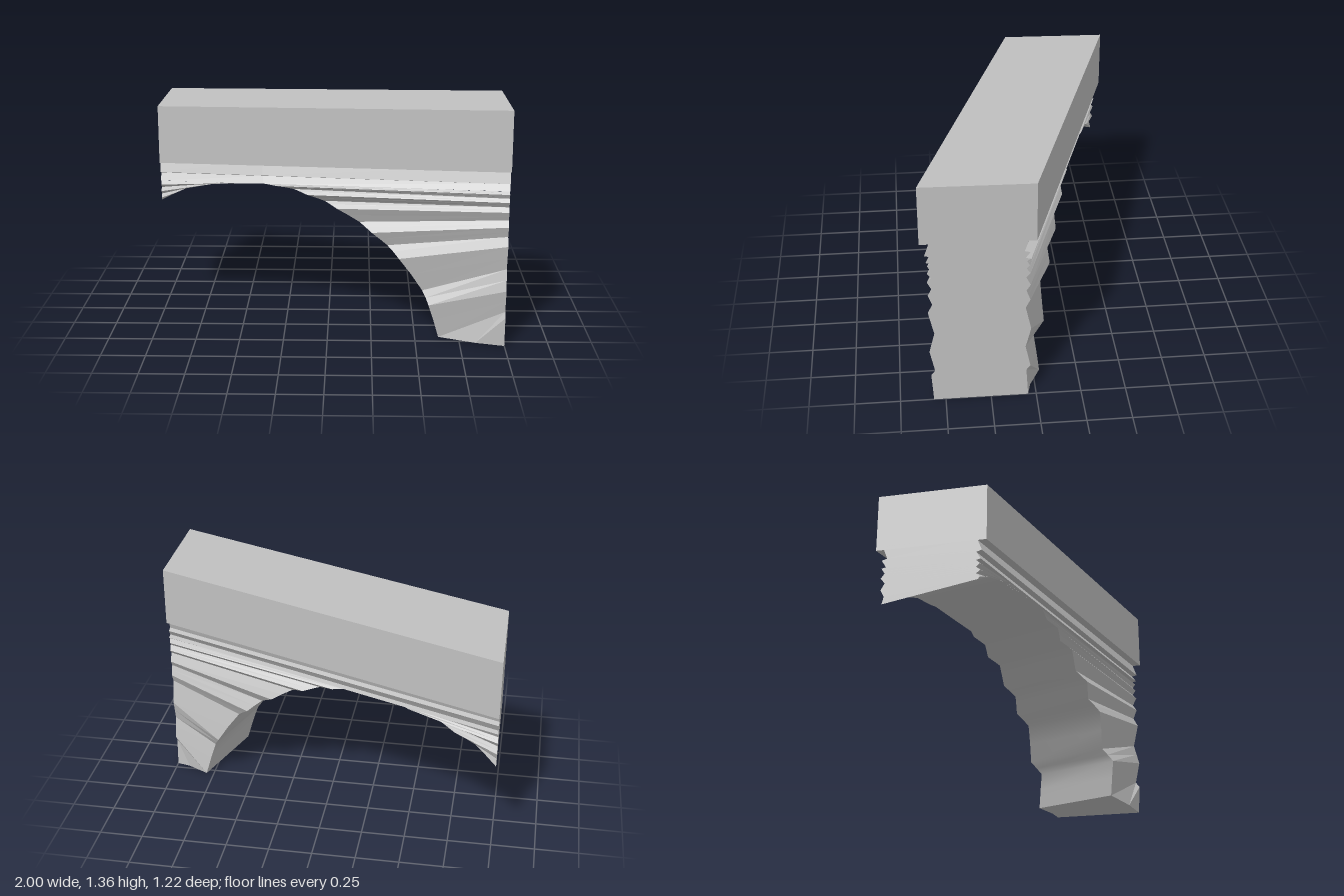
import * as THREE from 'three';
import { toCreasedNormals } from 'three/addons/utils/BufferGeometryUtils.js';

const SKEW = 0.305;   // z gained per unit of x along the wall
const HALF = 0.26;    // half thickness of the wall below the parapet

const stone = new THREE.MeshStandardMaterial({ color: 0xc0c0c0 });
stone.name = 'grey stone';

// Point on the front (side 1) or back (side -1) of the wall, with its layer shifted by d
const onWall = (x, y, d, side) => [x, y, side * HALF + SKEW * x + d];

// Quads between two matching rows of points
function strip(a, b, out) {
  for (let i = 0; i + 1 < a.length; i++) {
    out.push(...a[i], ...b[i], ...b[i + 1], ...a[i], ...b[i + 1], ...a[i + 1]);
  }
}

function meshFrom(positions, name, crease) {
  let geo = new THREE.BufferGeometry();
  geo.setAttribute('position', new THREE.Float32BufferAttribute(positions, 3));
  geo.computeVertexNormals();
  if (crease) geo = toCreasedNormals(geo, crease);
  const mesh = new THREE.Mesh(geo, stone);
  mesh.name = name;
  return mesh;
}

// Rows of a fan: inner points follow a smooth arch, outer points the straight end
function fanRows(rows, side, end) {
  const curve = new THREE.CatmullRomCurve3(rows.map(r => new THREE.Vector3(r[0], r[1], 0)));
  const inner = [], outer = [];
  const steps = 2, n = (rows.length - 1) * steps;
  for (let k = 0; k <= n; k++) {
    const i = Math.min(Math.floor(k / steps), rows.length - 2);
    const t = k / steps - i;
    const p = curve.getPoint(k / n);
    const y = THREE.MathUtils.lerp(rows[i][2], rows[i + 1][2], t);
    const d = THREE.MathUtils.lerp(rows[i][3], rows[i + 1][3], t);
    inner.push(onWall(p.x, p.y, d, side));
    outer.push(onWall(end, y, d * 0.6, side));
  }
  return { inner, outer };
}

function buildFan(name, front, back, group) {
  const ridges = [], soffit = [];
  strip(front.outer, front.inner, ridges);
  strip(back.inner, back.outer, ridges);
  strip(back.outer, front.outer, ridges);
  strip(front.inner, back.inner, soffit);
  group.add(meshFrom(ridges, name + 'Strata'));
  group.add(meshFrom(soffit, name + 'Soffit', 0.5));
}

export function createModel() {
  const model = new THREE.Group();
  model.name = 'skewArch';

  // Parapet: a box sheared along the skew and tilted with the grade
  const cap = new THREE.BoxGeometry(2, 0.34, 0.61);
  const pos = cap.attributes.position;
  for (let i = 0; i < pos.count; i++) {
    const x = pos.getX(i), z = pos.getZ(i) + SKEW * x;
    pos.setXYZ(i, x, pos.getY(i) + 1.1325 + 0.05 * x + 0.013 * z, z);
  }
  cap.computeVertexNormals();
  const parapet = new THREE.Mesh(cap, stone);
  parapet.name = 'parapet';
  model.add(parapet);

  // Level courses under the parapet: height at left end, at right end, shift
  const courses = [
    [0.79, 0.9, -0.015], [0.797, 0.907, 0.015], [0.84, 0.942, -0.01],
    [0.85, 0.95, 0.02], [0.93, 1.04, -0.01],
  ];
  const column = (x, side) => courses.map(([l, r, d]) =>
    onWall(x, l + (r - l) * (x + 1) / 2, d, side));
  const ring = [column(-1, 1), column(-0.38, 1), column(1, 1),
    column(1, -1), column(-0.22, -1), column(-1, -1)];
  const band = [];
  ring.forEach((c, i) => strip(c, ring[(i + 1) % ring.length], band));
  model.add(meshFrom(band, 'levelCourses'));

  // Right leg, crest to foot: arch x, arch y, height at the end, shift
  const right = [
    [-0.38, 0.824, 0.9, -0.015], [-0.3, 0.823, 0.885, 0.012], [-0.2, 0.808, 0.86, -0.012],
    [-0.12, 0.787, 0.84, 0.016], [-0.02, 0.752, 0.81, -0.018], [0.05, 0.722, 0.785, 0.02],
    [0.18, 0.645, 0.735, -0.02], [0.25, 0.597, 0.7, 0.018], [0.34, 0.522, 0.64, -0.018],
    [0.405, 0.46, 0.59, 0.024], [0.54, 0.27, 0.45, -0.026], [0.575, 0.2, 0.33, 0.024],
    [0.635, 0, 0.2, -0.02],
  ];
  const rightBack = right.map(([x, y, e, d]) => [x + 0.16, y * 1.011, e, d]);
  const leg = [fanRows(right, 1, 1), fanRows(rightBack, -1, 1)];
  // The foot runs on along the ground to the corner
  leg.forEach((rows, i) => {
    const side = i ? -1 : 1;
    rows.inner.push(onWall(i ? 0.92 : 0.84, 0, 0.005, side), onWall(1, 0, 0, side));
    rows.outer.push(onWall(1, 0.17, 0.01, side), onWall(1, 0, 0, side));
  });
  buildFan('rightLeg', leg[0], leg[1], model);

  // Left haunch, springing to crest
  const shifts = [0, 0.018, -0.015, 0.02, -0.018, 0.015, -0.015];
  const haunch = list => list.map((r, i) => [...r, shifts[i]]);
  const leftFront = haunch([
    [-1, 0.675, 0.675], [-0.9, 0.735, 0.69], [-0.8, 0.775, 0.71], [-0.7, 0.8, 0.73],
    [-0.6, 0.817, 0.75], [-0.5, 0.825, 0.77], [-0.38, 0.824, 0.79],
  ]);
  const leftBack = haunch([
    [-1, 0.575, 0.575], [-0.88, 0.67, 0.62], [-0.76, 0.735, 0.66], [-0.64, 0.78, 0.7],
    [-0.5, 0.812, 0.73], [-0.36, 0.828, 0.76], [-0.22, 0.833, 0.79],
  ]);
  buildFan('leftHaunch', fanRows(leftFront, 1, -1), fanRows(leftBack, -1, -1), model);

  return model;
}
